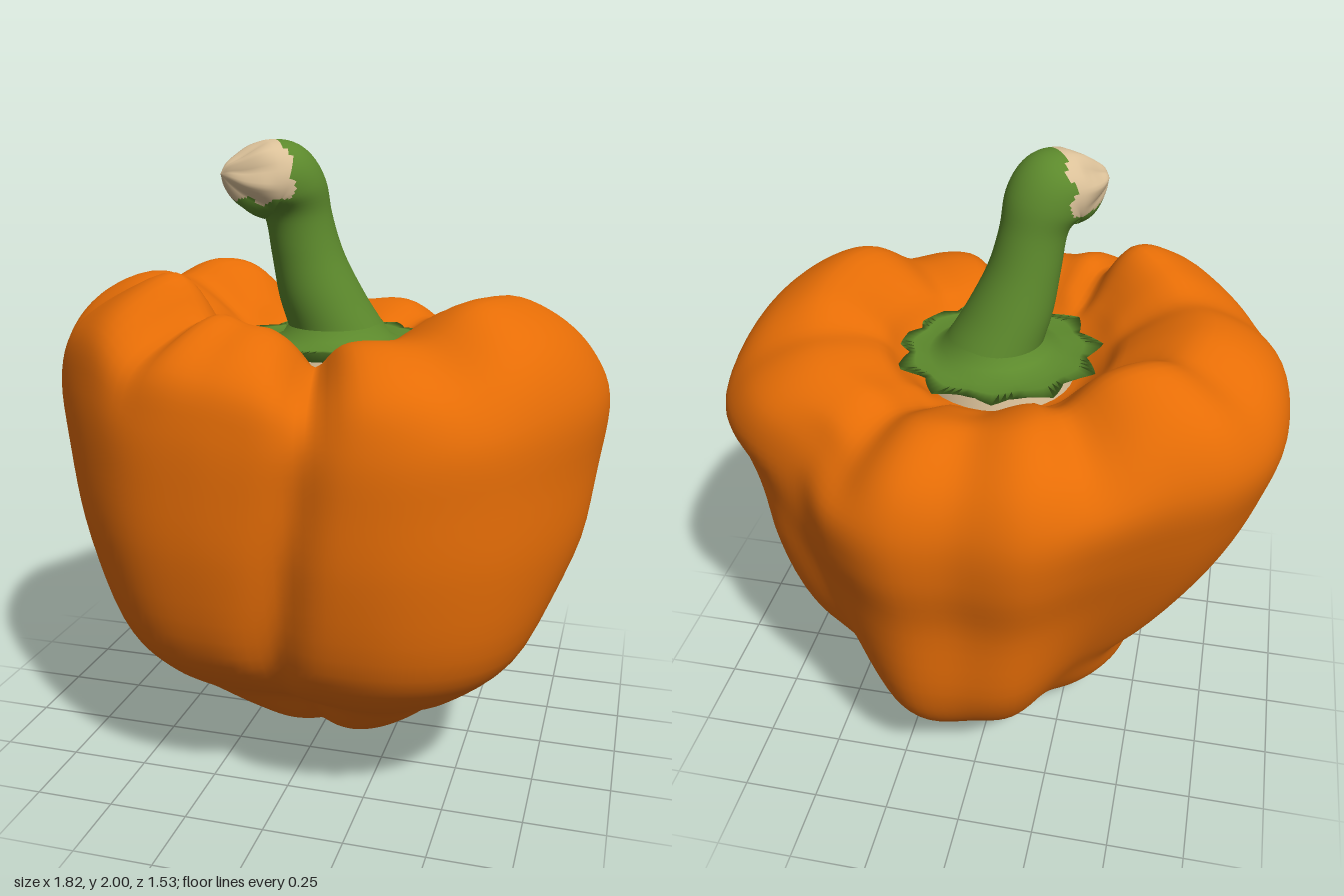
import * as THREE from 'three';

const DEG = Math.PI / 180;

// Radius of the fruit seen from above, every 15 degrees from +x towards +z
const OUTLINE = [.91, .91, .9, .885, .845, .79, .755, .78, .82, .835, .86, .89,
  .91, .91, .88, .80, .765, .78, .74, .785, .785, .785, .87, .91];
// Height of the shoulder, every 15 degrees
const SHOULDER = [1.53, 1.55, 1.55, 1.5, 1.46, 1.45, 1.46, 1.51, 1.53, 1.61, 1.58, 1.56,
  1.56, 1.57, 1.58, 1.56, 1.5, 1.46, 1.44, 1.43, 1.43, 1.43, 1.46, 1.49];

// Side profiles: level, then share of the outline radius every 45 degrees
const PROFILE = [
  [0, [.16, .10, .04, .07, .09, .14, .20, .18]],
  [.03, [.29, .23, .13, .20, .26, .27, .37, .34]],
  [.09, [.39, .34, .22, .32, .38, .36, .50, .47]],
  [.2, [.50, .50, .36, .50, .50, .45, .67, .59]],
  [.35, [.61, .79, .71, .74, .56, .55, .84, .69]],
  [.5, [.80, .94, .90, .88, .69, .66, .91, .79]],
  [.8, [.94, 1.01, .99, .98, .87, .825, .94, .89]],
  [1.05, [.98, 1.015, 1, 1, .96, .945, 1, .96]],
  [1.25, [.995, 1.005, .99, .99, 1, 1, 1, .99]],
  [1.4, [.92, .94, .95, .945, .96, .94, .94, .93]],
  [1.5, [.80, .82, .83, .80, .85, .82, .83, .81]],
  [1.55, [.64, .66, .66, .615, .67, .66, .69, .66]],
];

// Creases in the shoulder: angle, depth, half width (degrees)
const CREASES = [[80, .09, 7], [48, .04, 9], [-14, .025, 8], [-60, .055, 9],
  [-92, .02, 9], [-124, .06, 10], [-161, .045, 9], [163, .03, 9], [123, .06, 6], [105, .02, 6]];

// Smooth lookup in a closed table of values
function around(table, angle) {
  const n = table.length, f = ((angle / 360 * n) % n + n) % n, i = Math.floor(f), t = f - i;
  const p = k => table[(i + k + n) % n];
  return p(0) + .5 * t * (p(1) - p(-1) + t * (2 * p(-1) - 5 * p(0) + 4 * p(1) - p(2)
    + t * (3 * (p(0) - p(1)) + p(2) - p(-1))));
}

function dip(angle, centre, width) {
  const d = ((angle - centre + 540) % 360 + 360) % 360 - 180;
  return Math.exp(-((d / width) ** 2));
}

// Smooth surface from a grid of points: rows go up, columns go round.
// With a rule, faces that meet it use the second material.
function gridGeometry(rows, cols, pointAt, rule) {
  const points = [], plain = [], painted = [];
  for (let i = 0; i < rows; i++)
    for (let j = 0; j < cols; j++) points.push(new THREE.Vector3(...pointAt(i, j)));
  for (let i = 0; i < rows - 1; i++)
    for (let j = 0; j < cols; j++) {
      const a = i * cols + j, b = i * cols + (j + 1) % cols;
      const list = rule && rule(points[a]) ? painted : plain;
      list.push(a, a + cols, b, b, a + cols, b + cols);
    }
  const g = new THREE.BufferGeometry().setFromPoints(points);
  g.setIndex([...plain, ...painted]);
  g.addGroup(0, plain.length, 0);
  g.addGroup(plain.length, painted.length, 1);
  g.computeVertexNormals();
  return g;
}

// One vertical section of the fruit, from the base up over the shoulder into the hollow
function fruitSection(angle) {
  const size = around(OUTLINE, angle), top = around(SHOULDER, angle);
  const crease = CREASES.reduce((sum, [a, d, w]) => sum + d * dip(angle, a, w), 0);
  const pts = [new THREE.Vector3(0, .003, 0)];
  for (const [level, shares] of PROFILE) {
    let r = size * around(shares, angle);
    let y = level < .8 ? level : .8 + (level - .8) * (top - .8) / .75;
    const body = THREE.MathUtils.smoothstep(level, .2, .6);
    // Long front groove, and one that winds down the left side
    r -= .05 * body * dip(angle, 80 + (1.3 - level) * 11, 6);
    r -= .055 * body * dip(angle, -40 + (1.25 - level) * 65, 15) * (level < 1.45 ? 1 : .4);
    // Lumps near the base
    r *= 1 + .03 * Math.sin(angle * DEG * 5 + 1) * Math.exp(-(((level - .27) / .13) ** 2));
    const upper = THREE.MathUtils.smoothstep(level, 1.2, 1.55);
    r -= crease * .35 * upper;
    y -= crease * upper;
    pts.push(new THREE.Vector3(r, y, 0));
  }
  const inner = Math.min(1.45, top - .035) - crease * .8;
  pts.push(new THREE.Vector3(.39, inner, 0), new THREE.Vector3(.32, Math.min(1.36, inner - .03), 0),
    new THREE.Vector3(.24, 1.3, 0), new THREE.Vector3(0, 1.28, 0));
  return new THREE.CatmullRomCurve3(pts);
}

function fruitGeometry() {
  const rows = 80, cols = 144;
  const sections = Array.from({ length: cols }, (_, j) => fruitSection(j * 360 / cols).getPoints(rows - 1));
  return gridGeometry(rows, cols, (i, j) => {
    const p = sections[j][i], a = j * 2 * Math.PI / cols, r = Math.max(0, p.x);
    return [r * Math.cos(a), Math.max(0, p.y), r * Math.sin(a)];
  });
}

// Rings [x, y, z, radius, tilt, jag]: tilt turns the ring towards the cut end of the stem
const UP = new THREE.Vector3(0, 1, 0), CUT = new THREE.Vector3(-.75, .08, .62).normalize();
function ringGeometry(rings, teeth, cols, rule) {
  return gridGeometry(rings.length, cols, (i, j) => {
    const [x, y, z, r, tilt, jag] = rings[i], a = j * 2 * Math.PI / cols;
    const n = UP.clone().lerp(CUT, tilt).normalize();
    const tooth = Math.abs(((j * teeth / cols) % 1) * 2 - 1) * 2 - 1;
    const rr = r * (1 + jag * tooth);
    const v = new THREE.Vector3(rr * Math.cos(a), 0, rr * Math.sin(a));
    v.applyQuaternion(new THREE.Quaternion().setFromUnitVectors(UP, n));
    return [x + v.x, y + v.y, z + v.z];
  }, rule);
}

// Rings sampled smoothly between a few given ones
function smoothRings(rings, steps) {
  const path = new THREE.CatmullRomCurve3(rings.map(r => new THREE.Vector3(r[0], r[1], r[2])), false, 'catmullrom');
  const girth = new THREE.CatmullRomCurve3(rings.map(r => new THREE.Vector3(r[3], r[4], r[5])), false, 'catmullrom');
  return Array.from({ length: steps + 1 }, (_, i) => {
    const p = path.getPoint(i / steps), g = girth.getPoint(i / steps);
    return [p.x, p.y, p.z, Math.max(0, g.x), THREE.MathUtils.clamp(g.y, 0, 1), g.z];
  });
}

export function createModel() {
  const material = (name, color) => {
    const m = new THREE.MeshStandardMaterial({ color, side: THREE.DoubleSide });
    m.name = name;
    return m;
  };
  const orange = material('orange skin', 0xe66d06);
  const green = material('green stem', 0x5c892c);
  const beige = material('pale cut flesh', 0xdbc199);

  const model = new THREE.Group();
  model.name = 'bellPepper';
  const add = (name, geometry, mat) => {
    const mesh = new THREE.Mesh(geometry, mat);
    mesh.name = name;
    model.add(mesh);
  };

  add('fruit', fruitGeometry(), [orange, orange]);

  // Star-shaped collar with a pale core below it
  add('collar', ringGeometry([
    [.02, 1.34, .02, .25, 0, 0], [.02, 1.378, .02, .312, 0, .09], [.02, 1.378, .02, .27, 0, .03],
    [.025, 1.368, .025, .22, 0, 0], [.03, 1.39, .03, .175, 0, 0], [.03, 1.43, .03, .15, 0, 0],
  ], 11, 88), [green, green]);
  add('collarCore', new THREE.CylinderGeometry(.235, .25, .07, 32).translate(.02, 1.315, .02), beige);

  // Bent stem with a thick end; its cut face is pale with a ragged border
  const isCut = p => p.y > 1.825 + .01 * Math.sin(p.x * 60)
    && -.75 * p.x + .65 * p.z > .182 + .012 * Math.sin(p.y * 70);
  add('stem', ringGeometry(smoothRings([
    [.03, 1.42, .03, .155, 0, 0], [-.012, 1.52, .05, .138, 0, 0], [-.052, 1.65, .07, .115, 0, 0],
    [-.077, 1.77, .09, .106, .05, 0], [-.1, 1.84, .118, .122, .3, 0], [-.125, 1.88, .142, .124, .65, 0],
    [-.162, 1.882, .172, .118, 1, .02], [-.195, 1.882, .198, .1, 1, .08], [-.23, 1.885, .218, .07, 1, .12],
    [-.262, 1.895, .23, .035, 1, .1], [-.28, 1.9, .234, 0, 1, 0],
  ], 60), 6, 60, isCut), [green, beige]);

  return model;
}
